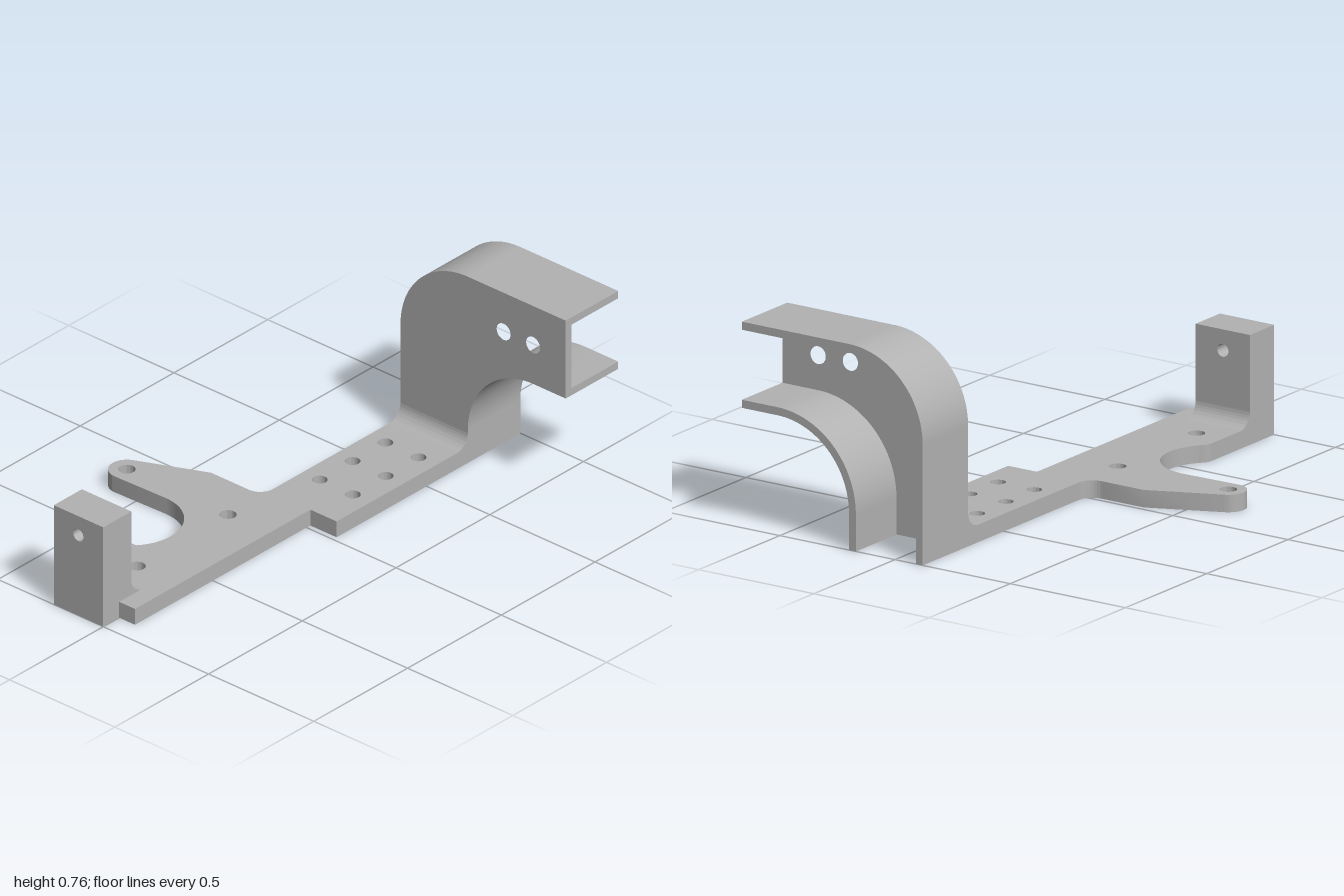
import * as THREE from 'three';
import { toCreasedNormals } from 'three/addons/utils/BufferGeometryUtils.js';

const PLATE = 0.065; // base plate thickness
const WALL = 0.03;   // channel wall thickness
const HALF_PI = Math.PI / 2;

export function createModel() {
  const group = new THREE.Group();
  const metal = new THREE.MeshStandardMaterial({ color: 0xb2b2b2 });
  metal.name = 'grey metal';

  const extrude = (shape, depth) =>
    new THREE.ExtrudeGeometry(shape, { depth, bevelEnabled: false, curveSegments: 28 });

  const add = (name, geometry) => {
    const mesh = new THREE.Mesh(toCreasedNormals(geometry, 0.5), metal);
    mesh.name = name;
    group.add(mesh);
  };

  const drill = (shape, x, y, r) => {
    const hole = new THREE.Path();
    hole.absarc(x, y, r, 0, Math.PI * 2, true);
    shape.holes.push(hole);
  };

  // Base plate with side arm, drawn in x and -z
  const plate = new THREE.Shape();
  plate.moveTo(-0.12, 0.72);
  plate.lineTo(-0.12, 0.04);
  plate.absarc(-0.18, 0.04, 0.06, 0, -HALF_PI, true);
  plate.lineTo(-0.36, -0.02);
  plate.absarc(-0.6, -0.2, 0.067, 1.99, 3 * HALF_PI, false);
  plate.lineTo(-0.36, -0.26);
  plate.absarc(-0.36, -0.45, 0.19, HALF_PI, -0.73, true);
  plate.quadraticCurveTo(-0.235, -0.59, -0.235, -0.62);
  plate.lineTo(-0.235, -0.85);
  plate.lineTo(0, -0.85);
  plate.lineTo(0, -0.915);
  plate.lineTo(0.075, -0.915);
  plate.lineTo(0.075, 0.02);
  plate.lineTo(0.2, 0.02);
  plate.lineTo(0.2, 0.72);
  plate.closePath();
  for (const x of [-0.04, 0.117]) {
    for (const z of [-0.55, -0.375, -0.2]) drill(plate, x, -z, 0.028);
  }
  drill(plate, -0.6, -0.2, 0.031);
  drill(plate, -0.12, -0.2, 0.031);
  drill(plate, -0.12, -0.685, 0.031);
  add('basePlate', extrude(plate, PLATE).rotateX(-HALF_PI));

  // Upright front block with a cross hole
  const block = new THREE.Shape();
  block.moveTo(-0.235, 0);
  block.lineTo(0, 0);
  block.lineTo(0, 0.408);
  block.lineTo(-0.235, 0.408);
  block.closePath();
  drill(block, -0.118, 0.33, 0.024);
  add('frontBlock', extrude(block, 0.15).translate(0, 0, 0.85));

  // Concave fillets where the uprights meet the plate; dir points away from the wall
  const addFillet = (name, wallZ, dir, xLeft, xRight) => {
    const r = 0.06;
    const s = new THREE.Shape();
    s.moveTo(wallZ, PLATE);
    s.lineTo(wallZ, PLATE + r);
    s.absarc(wallZ + dir * r, PLATE + r, r, dir > 0 ? Math.PI : 0, dir > 0 ? 3 * HALF_PI : -HALF_PI, dir < 0);
    s.closePath();
    add(name, extrude(s, xRight - xLeft).rotateY(-HALF_PI).translate(xRight, 0, 0));
  };
  addFillet('frontBlockFillet', 0.85, -1, -0.235, 0);
  addFillet('channelFillet', -0.72, 1, -0.12, 0.2);

  // Bent channel edges, inset by t from the outside of the profile
  const END = 0.665;
  const outerEdge = (path, t) => { // bottom to tip
    path.lineTo(-0.12 + t, 0);
    path.lineTo(-0.12 + t, 0.445);
    path.absarc(0.2, 0.445, 0.32 - t, Math.PI, HALF_PI, true);
    path.lineTo(END, 0.765 - t);
  };
  const outerEdgeBack = (path, t) => { // tip to bottom
    path.lineTo(END, 0.765 - t);
    path.absarc(0.2, 0.445, 0.32 - t, HALF_PI, Math.PI, false);
    path.lineTo(-0.12 + t, 0);
  };
  const innerEdge = (path, t) => { // bottom to tip
    path.lineTo(0.2 - t, 0);
    path.lineTo(0.2 - t, 0.135);
    path.absarc(0.51, 0.135, 0.31 + t, Math.PI, HALF_PI, true);
    path.lineTo(END, 0.445 + t);
  };
  const innerEdgeBack = (path, t) => { // tip to bottom
    path.lineTo(END, 0.445 + t);
    path.absarc(0.51, 0.135, 0.31 + t, HALF_PI, Math.PI, false);
    path.lineTo(0.2 - t, 0);
  };

  const web = new THREE.Shape();
  web.moveTo(-0.12, 0);
  outerEdge(web, 0);
  innerEdgeBack(web, 0);
  web.closePath();
  drill(web, 0.37, 0.605, 0.033);
  drill(web, 0.51, 0.605, 0.033);
  add('channelWeb', extrude(web, WALL).translate(0, 0, -0.75));

  const outerFlange = new THREE.Shape();
  outerFlange.moveTo(-0.12, 0);
  outerEdge(outerFlange, 0);
  outerEdgeBack(outerFlange, WALL);
  outerFlange.closePath();
  add('channelOuterFlange', extrude(outerFlange, 0.25).translate(0, 0, -1));

  const innerFlange = new THREE.Shape();
  innerFlange.moveTo(0.2 - WALL, 0);
  innerEdge(innerFlange, WALL);
  innerEdgeBack(innerFlange, 0);
  innerFlange.closePath();
  add('channelInnerFlange', extrude(innerFlange, 0.25).translate(0, 0, -1));

  return group;
}
